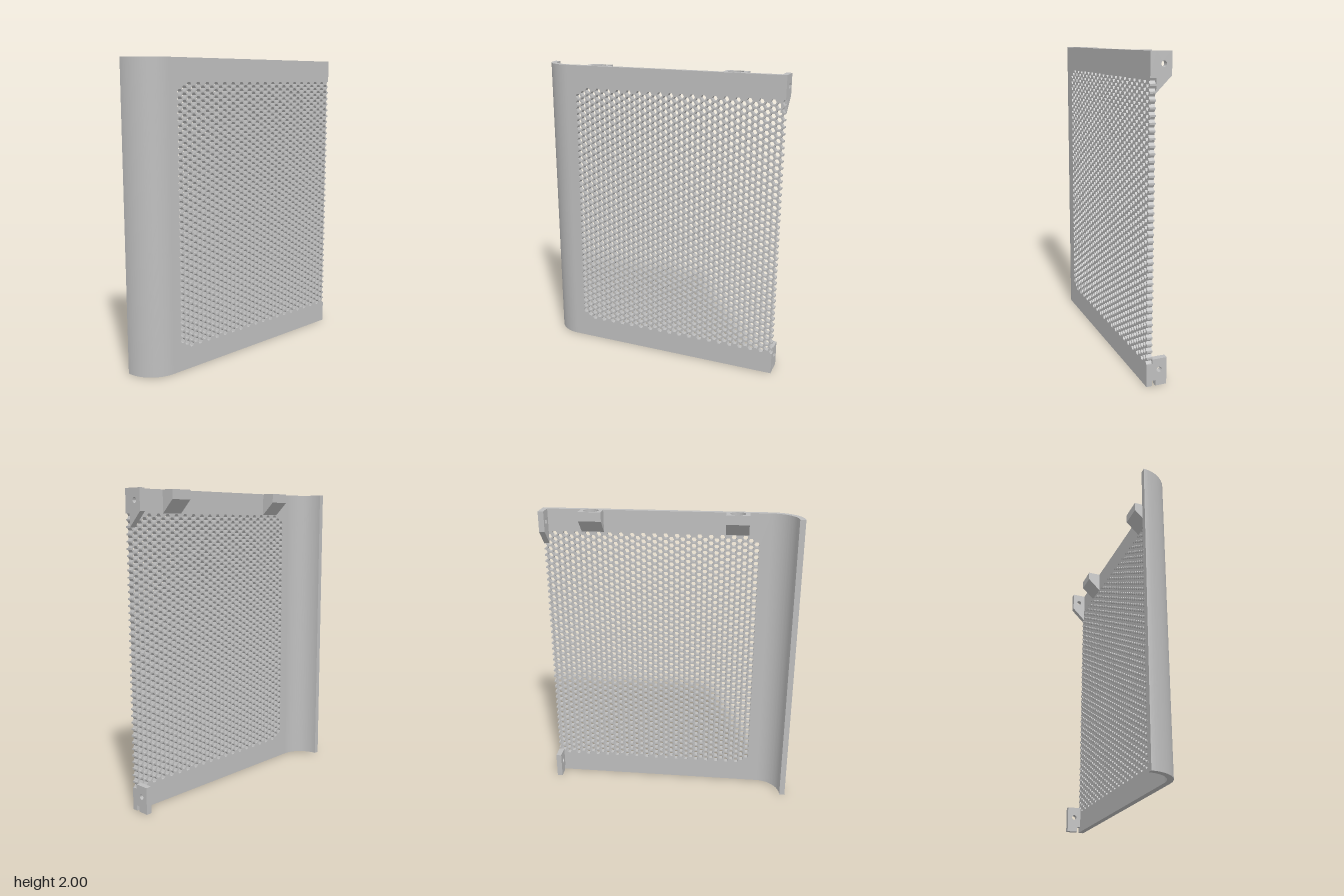
import * as THREE from 'three';
import { toCreasedNormals } from 'three/addons/utils/BufferGeometryUtils.js';

const EDGE = 0.85;             // right edge of the panel
const FRONT = 0.103;           // front surface z
const THICK = 0.037;
const INNER = FRONT - THICK;   // back surface z of the flat plate
const BEND = 0.206;            // outer bend radius
const FLAT_START = -EDGE + BEND;

// Honeycomb layout: flat-topped hexagons
const LAST = 38, ROWS = 40;
const STEP = 0.03718;
const PITCH = STEP * 2 / Math.sqrt(3);
const HEX_R = 0.0185, HEX_A = HEX_R * Math.sqrt(3) / 2;
const rowY = (r) => 1 + (r - (ROWS - 1) / 2) * PITCH;

const BOSS_X = [-0.435, 0.515], BOSS_HALF = 0.075, BOSS_BACK = -0.022;
const SOCKET_DEPTH = 0.04;

const polygon = (pts) => new THREE.Shape(pts.map(([x, y]) => new THREE.Vector2(x, y)));
const circle = (x, y, r) => new THREE.Path().absarc(x, y, r, 0, Math.PI * 2, true);

function extrude(shape, depth) {
  return new THREE.ExtrudeGeometry(shape, { depth, bevelEnabled: false, curveSegments: 24 });
}

// Plan outline (x, -z) raised along y
const raise = (shape, height) => toCreasedNormals(extrude(shape, height).rotateX(-Math.PI / 2), 0.5);
// Side outline (-z, y) extended along x
const across = (shape, width) => toCreasedNormals(extrude(shape, width).rotateY(Math.PI / 2), 0.5);

// Flat plate with perforations and half-cells cut into its right edge
function plateGeometry() {
  const pts = [[FLAT_START, 0], [EDGE, 0]];
  for (let r = 0; r < ROWS; r++) {
    const y = rowY(r);
    pts.push([EDGE, y - HEX_A], [EDGE - HEX_R / 2, y - HEX_A], [EDGE - HEX_R, y],
      [EDGE - HEX_R / 2, y + HEX_A], [EDGE, y + HEX_A]);
  }
  pts.push([EDGE, 2]);
  for (const x of [...BOSS_X].reverse()) {
    const a = x - BOSS_HALF, b = x + BOSS_HALF, y = 2 - SOCKET_DEPTH;
    pts.push([b, 2], [b, y], [a, y], [a, 2]);
  }
  pts.push([FLAT_START, 2]);
  const shape = polygon(pts);
  for (let c = 0; c < LAST; c++) {
    const x = EDGE - (LAST - c) * STEP;
    const odd = c % 2;
    const first = c === 0 ? 1 : 0;               // clipped corners of the field
    const last = ROWS - 1 - (odd || first ? 1 : 0);
    for (let r = first; r <= last; r++) {
      const y = rowY(r + odd / 2);
      const hex = [];
      for (let k = 0; k < 6; k++) {
        const t = -k * Math.PI / 3;
        hex.push(new THREE.Vector2(x + HEX_R * Math.cos(t), y + HEX_R * Math.sin(t)));
      }
      shape.holes.push(new THREE.Path(hex));
    }
  }
  return extrude(shape, THICK).translate(0, 0, INNER);
}

// Quarter-round return along the left side
function bendGeometry() {
  const s = new THREE.Shape();
  s.absarc(FLAT_START, FRONT, BEND, Math.PI, Math.PI * 1.5, false);
  s.absarc(FLAT_START, FRONT, BEND - THICK, Math.PI * 1.5, Math.PI, true);
  s.closePath();
  return raise(s, 2);
}

export function createModel() {
  const group = new THREE.Group();
  const grey = new THREE.MeshStandardMaterial({ color: 0xbebebe });
  grey.name = 'grey';
  const add = (name, geometry, x = 0, y = 0) => {
    const mesh = new THREE.Mesh(geometry, grey);
    mesh.name = name;
    mesh.position.set(x, y, 0);
    group.add(mesh);
  };

  add('perforatedPlate', plateGeometry());
  add('curvedEdge', bendGeometry());

  // Socket bosses: a ring with a round blind hole over a sloped support
  const floorY = 2 - SOCKET_DEPTH;
  for (const x of BOSS_X) {
    const ring = polygon([[-BOSS_HALF, -FRONT], [BOSS_HALF, -FRONT],
      [BOSS_HALF, -BOSS_BACK], [-BOSS_HALF, -BOSS_BACK]]);
    ring.holes.push(circle(0, -0.034, 0.05));
    add('socketRing', raise(ring, SOCKET_DEPTH), x, floorY);
    const support = polygon([[-INNER - 0.0, 1.855], [-BOSS_BACK, 1.94], [-BOSS_BACK, floorY],
      [-INNER, floorY]]);
    add('socketSupport', across(support, BOSS_HALF * 2), x - BOSS_HALF);
  }

  // Upper hinge tab with a sloped lower edge
  const tabBack = 0.029, tabX = EDGE - THICK;
  const upper = polygon([[-INNER, 1.77], [tabBack, 1.865], [tabBack, 2], [-INNER, 2]]);
  upper.holes.push(circle(-0.02, 1.929, 0.017));
  add('upperTab', across(upper, THICK), tabX);

  // Lower hinge tab with a small slot beside the plate
  const lower = polygon([[-0.044, 0], [tabBack, 0], [tabBack, 0.175], [-INNER, 0.175],
    [-INNER, 0.035], [-0.044, 0.035]]);
  lower.holes.push(circle(-0.02, 0.103, 0.017));
  add('lowerTab', across(lower, THICK), tabX);

  return group;
}
